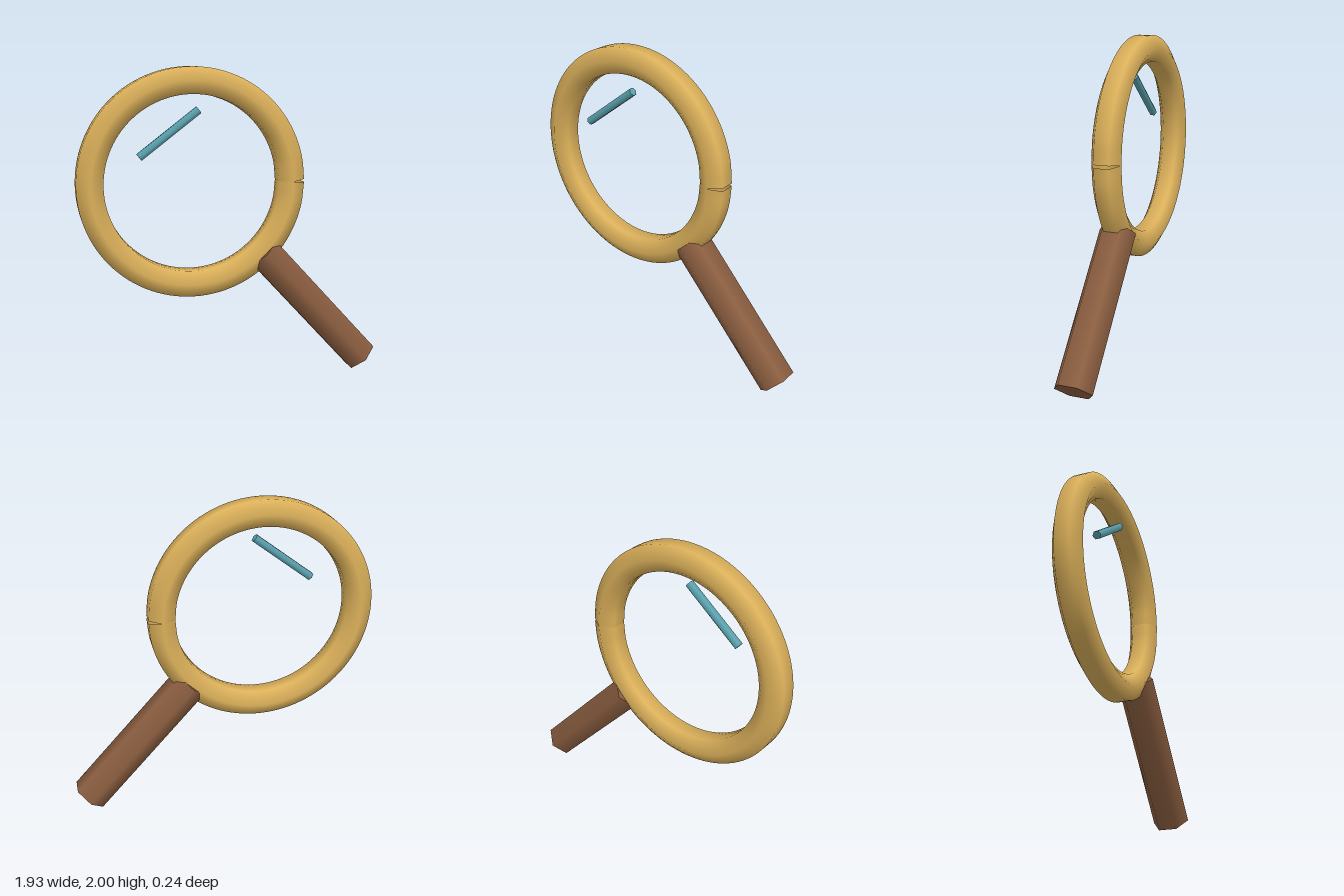
import * as THREE from 'three';

const material = (name, color) => {
  const m = new THREE.MeshStandardMaterial({ color });
  m.name = name;
  return m;
};

// Six-sided rod running between two points, with a ridge facing +z
function rod(name, from, to, radius, mat) {
  const dir = to.clone().sub(from);
  const mesh = new THREE.Mesh(new THREE.CylinderGeometry(radius, radius, dir.length(), 6), mat);
  mesh.name = name;
  mesh.position.copy(from).add(to).multiplyScalar(0.5);
  mesh.rotation.z = Math.atan2(-dir.x, dir.y);
  return mesh;
}

export function createModel() {
  const gold = material('gold', 0xdbb05a);
  const brown = material('brown', 0x8b5e40);
  const teal = material('teal', 0x5ba3b0);
  gold.side = THREE.DoubleSide; // the ring's tube is open at its seam

  const model = new THREE.Group();
  model.name = 'magnifyingGlass';

  // Ring: an open hexagonal tube whose ends meet in a small wedge-shaped seam
  const steps = 28, ringRadius = 0.632;
  const points = [];
  for (let i = 0; i <= steps; i++) {
    const a = (i / steps) * Math.PI * 2;
    points.push(new THREE.Vector3(Math.cos(a) * ringRadius, Math.sin(a) * ringRadius, 0));
  }
  const path = new THREE.CatmullRomCurve3(points);
  const ring = new THREE.Mesh(new THREE.TubeGeometry(path, 112, 0.095, 6, false), gold);
  ring.name = 'lensRing';
  ring.position.set(-0.255, 1.287, 0);
  model.add(ring);

  // Handle, with its upper end sunk into the ring
  model.add(rod('handle', new THREE.Vector3(0.888, 0.073, 0), new THREE.Vector3(0.2, 0.832, 0), 0.12, brown));

  // Glint floating inside the ring
  model.add(rod('glint', new THREE.Vector3(-0.588, 1.463, 0.05), new THREE.Vector3(-0.22, 1.742, 0.05), 0.027, teal));

  return model;
}
